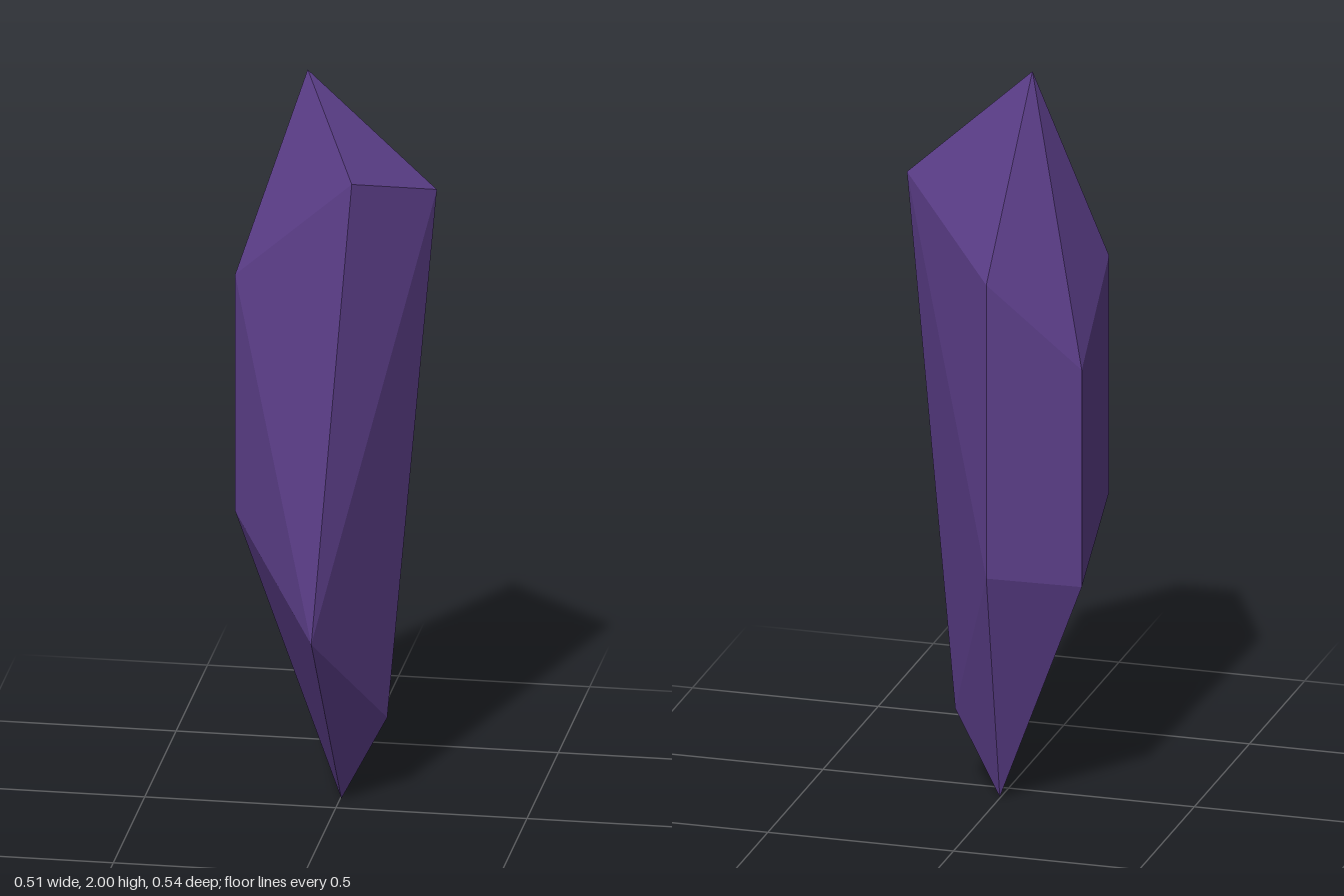
import * as THREE from 'three';

// Corners of the five long edges, in order round the crystal
const upper = [[-0.255, 1.24, -0.195], [-0.02, 1.475, -0.27], [0.253, 1.69, -0.07], [0.063, 1.765, 0.13], [-0.255, 1.47, 0.052]];
const lower = [[-0.255, 0.645, -0.195], [-0.02, 0.67, -0.27], [0.123, 0.23, -0.07], [-0.02, 0.545, 0.27], [-0.255, 0.82, 0.052]];
const tip = [-0.085, 2, -0.07];
const base = [0.003, 0, -0.07];

function facets(triangles) {
  const geometry = new THREE.BufferGeometry();
  geometry.setAttribute('position', new THREE.Float32BufferAttribute(triangles.flat(2), 3));
  geometry.computeVertexNormals();
  return geometry;
}

export function createModel() {
  const group = new THREE.Group();
  group.name = 'crystal';
  const material = new THREE.MeshStandardMaterial({ color: 0x5a3d87, flatShading: true });

  const cap = [], shaft = [], root = [];
  for (let i = 0; i < 5; i++) {
    const j = (i + 1) % 5;
    const [u, v, l, m] = [upper[i], upper[j], lower[i], lower[j]];
    cap.push([tip, v, u]);
    root.push([l, m, base]);
    // Split each side along its outward fold
    if (i === 2) shaft.push([u, v, m], [u, m, l]);
    else shaft.push([u, v, l], [v, m, l]);
  }

  // Pointed top, long facets and pointed bottom
  for (const [name, triangles] of Object.entries({ cap, shaft, root })) {
    const mesh = new THREE.Mesh(facets(triangles), material);
    mesh.name = name;
    group.add(mesh);
  }
  return group;
}
